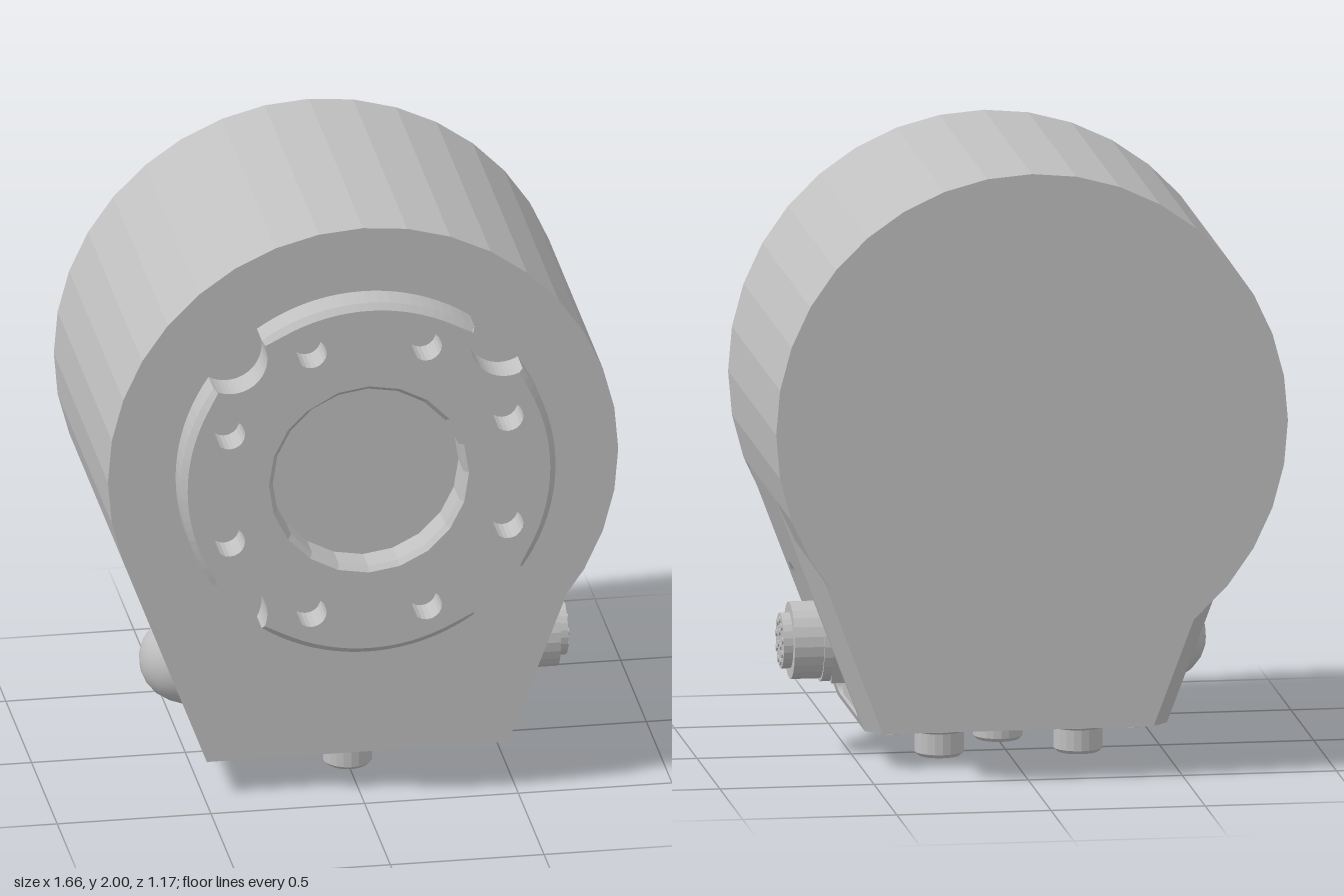
import * as THREE from 'three';

const grey = new THREE.MeshStandardMaterial({ color: 0xc0c0c0 });
grey.name = 'machined grey';

const AXIS_Y = 1.17, FLOOR = 0.12, HALF = 0.49;
const sideX = (y) => HALF + (y - FLOOR) * 0.378; // sloping side of the foot, tangent to the drum

function part(name, geometry, parent, flat = true) {
  let g = geometry;
  if (flat) {
    if (g.index) g = g.toNonIndexed();
    g.computeVertexNormals();
  }
  const mesh = new THREE.Mesh(g, grey);
  mesh.name = name;
  parent.add(mesh);
  return mesh;
}

function moveVertices(g, rule) {
  const p = g.attributes.position, v = new THREE.Vector3();
  for (let i = 0; i < p.count; i++) {
    v.fromBufferAttribute(p, i);
    rule(v);
    p.setXYZ(i, v.x, v.y, v.z);
  }
  return g;
}

// cylinder lying along x between two x positions
function discX(r, x0, x1, y, z, sides = 24) {
  return new THREE.CylinderGeometry(r, r, Math.abs(x1 - x0), sides)
    .rotateZ(-Math.PI / 2).translate((x0 + x1) / 2, y, z);
}

function roundedHole(x0, x1, y0, y1, r) {
  const h = new THREE.Path();
  h.moveTo(x0 + r, y0);
  h.lineTo(x1 - r, y0);
  h.absarc(x1 - r, y0 + r, r, -Math.PI / 2, 0);
  h.absarc(x1 - r, y1 - r, r, 0, Math.PI / 2);
  h.absarc(x0 + r, y1 - r, r, Math.PI / 2, Math.PI);
  h.absarc(x0 + r, y0 + r, r, Math.PI, Math.PI * 1.5);
  return h;
}

function rectangle(x0, x1, y0, y1) {
  return new THREE.Shape([[x0, y0], [x1, y0], [x1, y1], [x0, y1]].map(([x, y]) => new THREE.Vector2(x, y)));
}

// notched front plate with centre bore and eight bolt holes
function mountingPlate() {
  const R = 0.61, deg = Math.PI / 180, s = new THREE.Shape();
  for (let k = 0; k < 4; k++) {
    const a = k * 90, n = (a + 45) * deg;
    s.absarc(0, 0, R, (a - 34.5) * deg, (a + 34.5) * deg, false);
    s.absarc(0.63 * Math.cos(n), 0.63 * Math.sin(n), 0.115, n - 105 * deg, n - 255 * deg, true);
  }
  const hole = (x, y, r) => {
    const h = new THREE.Path();
    h.absarc(x, y, r, 0, Math.PI * 2, true);
    s.holes.push(h);
  };
  hole(0, 0, 0.31);
  for (let i = 0; i < 8; i++) {
    const t = (22.5 + i * 45) * deg;
    hole(0.49 * Math.cos(t), 0.49 * Math.sin(t), 0.05);
  }
  const g = new THREE.ExtrudeGeometry(s, { depth: 0.115, steps: 6, curveSegments: 10, bevelEnabled: false });
  // chamfer the rim and the bore on the front slice
  moveVertices(g, (v) => {
    if (v.z < 0.114) return;
    const r = Math.hypot(v.x, v.y);
    const k = r > 0.605 ? 0.967 : r < 0.315 ? 1.05 : 1;
    v.x *= k;
    v.y *= k;
  });
  return g.translate(0, AXIS_Y, 0.47);
}

// wedge on one side of the foot, with a rounded pocket cut to a vertical floor
function footSide(s) {
  const span = (a, b) => [Math.min(-s * a, -s * b), Math.max(-s * a, -s * b)];
  const shape = rectangle(...span(-0.23, 0.36), FLOOR, 0.877);
  shape.holes.push(roundedHole(...span(-0.18, 0.265), 0.15, 0.59, 0.04));
  const g = new THREE.ExtrudeGeometry(shape, { depth: 1, curveSegments: 4, bevelEnabled: false });
  moveVertices(g, (v) => { v.z = v.z > 0.5 ? sideX(v.y) : HALF; });
  return g.rotateY(s * Math.PI / 2);
}

export function createModel() {
  const model = new THREE.Group();
  model.name = 'rotary drive';

  // drum and front plate
  part('drum', new THREE.CylinderGeometry(0.83, 0.83, 1.055, 36).rotateX(Math.PI / 2)
    .translate(0, AXIS_Y, -0.0575), model);
  part('mountingPlate', mountingPlate(), model);

  // foot: core, pocketed sides and chamfered back
  const foot = new THREE.Group();
  foot.name = 'foot';
  model.add(foot);
  part('footCore', new THREE.BoxGeometry(HALF * 2, 0.757, 0.59).translate(0, FLOOR + 0.3785, 0.065), foot);
  for (const s of [1, -1]) part(s > 0 ? 'footSideLeft' : 'footSideRight', footSide(s), foot);
  const top = sideX(0.877);
  const back = new THREE.Shape([[-HALF, FLOOR], [HALF, FLOOR], [top, 0.877], [-top, 0.877]]
    .map(([x, y]) => new THREE.Vector2(x, y)));
  part('footBack', moveVertices(new THREE.ExtrudeGeometry(back, { depth: 0.05, bevelEnabled: false }), (v) => {
    if (v.z < 0.01) v.x -= Math.sign(v.x) * 0.05;
  }).translate(0, 0, -0.28), foot);

  // round multi-pin connector in the left pocket
  const connector = new THREE.Group();
  connector.name = 'sideConnector';
  model.add(connector);
  const cy = 0.37, cz = 0.04;
  part('connectorNut', discX(0.15, HALF, 0.57, cy, cz, 6), connector);
  part('connectorCollar', discX(0.135, 0.57, 0.6, cy, cz), connector);
  part('connectorBody', discX(0.125, 0.6, 0.695, cy, cz), connector);
  part('connectorInsert', discX(0.09, 0.695, 0.725, cy, cz), connector);
  for (let i = 0; i < 12; i++) {
    const outer = i < 9, t = outer ? i * Math.PI * 2 / 9 : (i - 9) * Math.PI * 2 / 3;
    const r = outer ? 0.068 : 0.028;
    part('connectorPin', discX(0.011, 0.725, 0.73, cy + r * Math.cos(t), cz + r * Math.sin(t), 8), connector);
  }

  // domed plug in the right pocket
  const dome = [[0.16, 0], [0.16, 0.02], [0.148, 0.035], [0.135, 0.075], [0.11, 0.115], [0.075, 0.145], [0.04, 0.16], [0, 0.165]]
    .map(([r, h]) => new THREE.Vector2(r, h));
  part('domedPlug', new THREE.LatheGeometry(dome, 28).rotateZ(Math.PI / 2).translate(-HALF, 0.35, cz), model, false);

  // underside cover with screws, raised frames and three plugs
  const underside = new THREE.Group();
  underside.name = 'underside';
  model.add(underside);
  part('bottomCover', new THREE.BoxGeometry(0.88, 0.014, 0.54).translate(0, 0.113, 0.05), underside);
  for (const x of [-0.39, 0.39]) for (const z of [-0.17, 0.27]) {
    part('coverScrew', new THREE.CylinderGeometry(0.025, 0.025, 0.008, 12).translate(x, 0.102, z), underside);
  }
  for (const x of [-0.21, 0.21]) {
    const frame = rectangle(-0.09, 0.09, -0.05, 0.05);
    frame.holes.push(rectangle(-0.08, 0.08, -0.04, 0.04));
    part('coverFrame', new THREE.ExtrudeGeometry(frame, { depth: 0.005, bevelEnabled: false })
      .rotateX(Math.PI / 2).translate(x, 0.107, 0.19), underside);
  }
  const plug = [[0, 0.005], [0.068, 0.005], [0.08, 0.017], [0.08, 0.085], [0.09, 0.092], [0.09, 0.11]]
    .map(([r, y]) => new THREE.Vector2(r, y));
  for (const [x, z] of [[-0.225, -0.07], [0, 0.165], [0.225, -0.07]]) {
    part('bottomPlug', new THREE.LatheGeometry(plug, 20).translate(x, 0, z), underside);
    part('plugTip', new THREE.BoxGeometry(0.1, 0.006, 0.02).translate(x, 0.003, z), underside);
  }
  return model;
}
